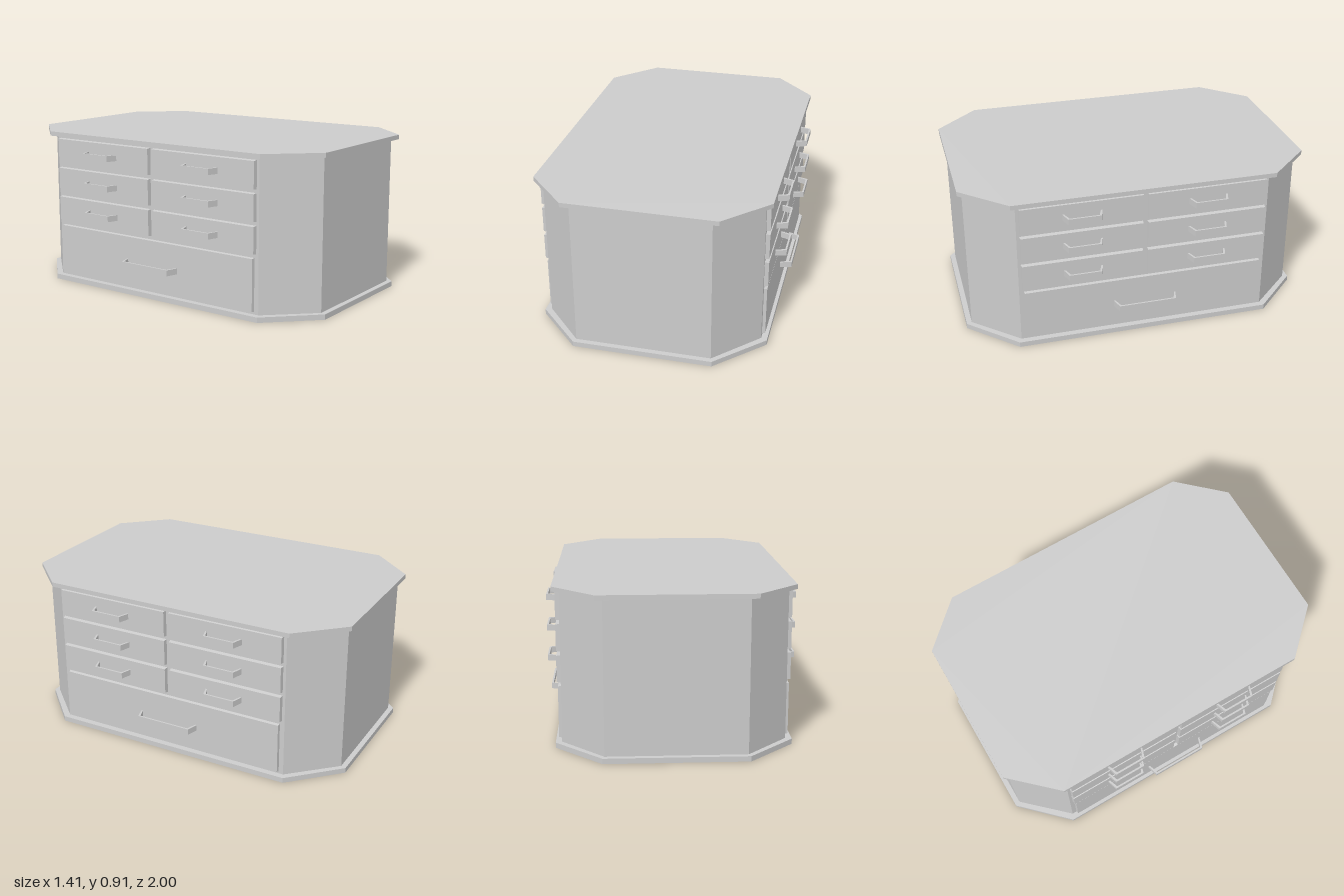
import * as THREE from 'three';

export function createModel() {
  const model = new THREE.Group();
  model.name = 'drawerIsland';
  const grey = new THREE.MeshStandardMaterial({ color: 0xcccccc });
  grey.name = 'light grey';

  const add = (parent, name, geometry) => {
    const mesh = new THREE.Mesh(geometry, grey);
    mesh.name = name;
    parent.add(mesh);
    return mesh;
  };

  // Rectangle with cut corners, extruded upwards from y0 to y1
  const slab = (name, x, z, cornerX, cornerZ, y0, y1) => {
    const shape = new THREE.Shape([
      [cornerX, z], [-cornerX, z], [-x, cornerZ], [-x, -cornerZ],
      [-cornerX, -z], [cornerX, -z], [x, -cornerZ], [x, cornerZ],
    ].map(([a, b]) => new THREE.Vector2(a, b)));
    const geometry = new THREE.ExtrudeGeometry(shape, { depth: y1 - y0, bevelEnabled: false });
    geometry.rotateX(-Math.PI / 2).translate(0, y0, 0);
    add(model, name, geometry);
  };
  slab('basePlinth', 0.655, 1, 0.395, 0.735, 0, 0.03);
  slab('cabinetBody', 0.62, 0.97, 0.385, 0.72, 0.03, 0.882);
  slab('worktop', 0.66, 1, 0.425, 0.75, 0.882, 0.908);

  // Drawer front whose outer face is slightly smaller than its back
  const drawerFront = (height, width, thickness) => {
    const geometry = new THREE.BoxGeometry(thickness, height, width).toNonIndexed();
    const p = geometry.attributes.position;
    for (let i = 0; i < p.count; i++) {
      if (p.getX(i) > 0) {
        p.setY(i, p.getY(i) - Math.sign(p.getY(i)) * 0.005);
        p.setZ(i, p.getZ(i) - Math.sign(p.getZ(i)) * 0.005);
      }
    }
    geometry.computeVertexNormals();
    return geometry;
  };

  // Flat bar bent outwards on two slanted legs
  const handle = (half, reach) => {
    const t = 0.01, inner = half - 0.02;
    const shape = new THREE.Shape([
      [0, half], [reach, inner], [reach, -inner], [0, -half],
      [0, -half + t], [reach - t, -inner + t], [reach - t, inner - t], [0, half - t],
    ].map(([a, b]) => new THREE.Vector2(a, b)));
    const geometry = new THREE.ExtrudeGeometry(shape, { depth: 0.034, bevelEnabled: false });
    return geometry.translate(0, 0, -0.017).rotateX(-Math.PI / 2);
  };

  // Both long sides carry the same bank of drawers
  for (const [sideName, turn] of [['left', 0], ['right', Math.PI]]) {
    const bank = new THREE.Group();
    bank.name = sideName + 'DrawerBank';
    bank.rotation.y = turn;
    model.add(bank);

    const drawer = (name, y, z, height, width, front, handleY, handleHalf) => {
      const group = new THREE.Group();
      group.name = name;
      bank.add(group);
      add(group, 'drawerFront', drawerFront(height, width, front - 0.61))
        .position.set((front + 0.61) / 2, y, z);
      add(group, 'drawerHandle', handle(handleHalf, 0.705 - front + 0.002))
        .position.set(front - 0.002, handleY, z);
    };

    // Three rows of paired small drawers above one wide drawer
    for (const y of [0.791, 0.616, 0.441]) {
      for (const z of [-0.358, 0.358]) drawer('smallDrawer', y, z, 0.158, 0.695, 0.643, y, 0.112);
    }
    drawer('wideDrawer', 0.193, 0, 0.302, 1.39, 0.638, 0.19, 0.185);
  }
  return model;
}
